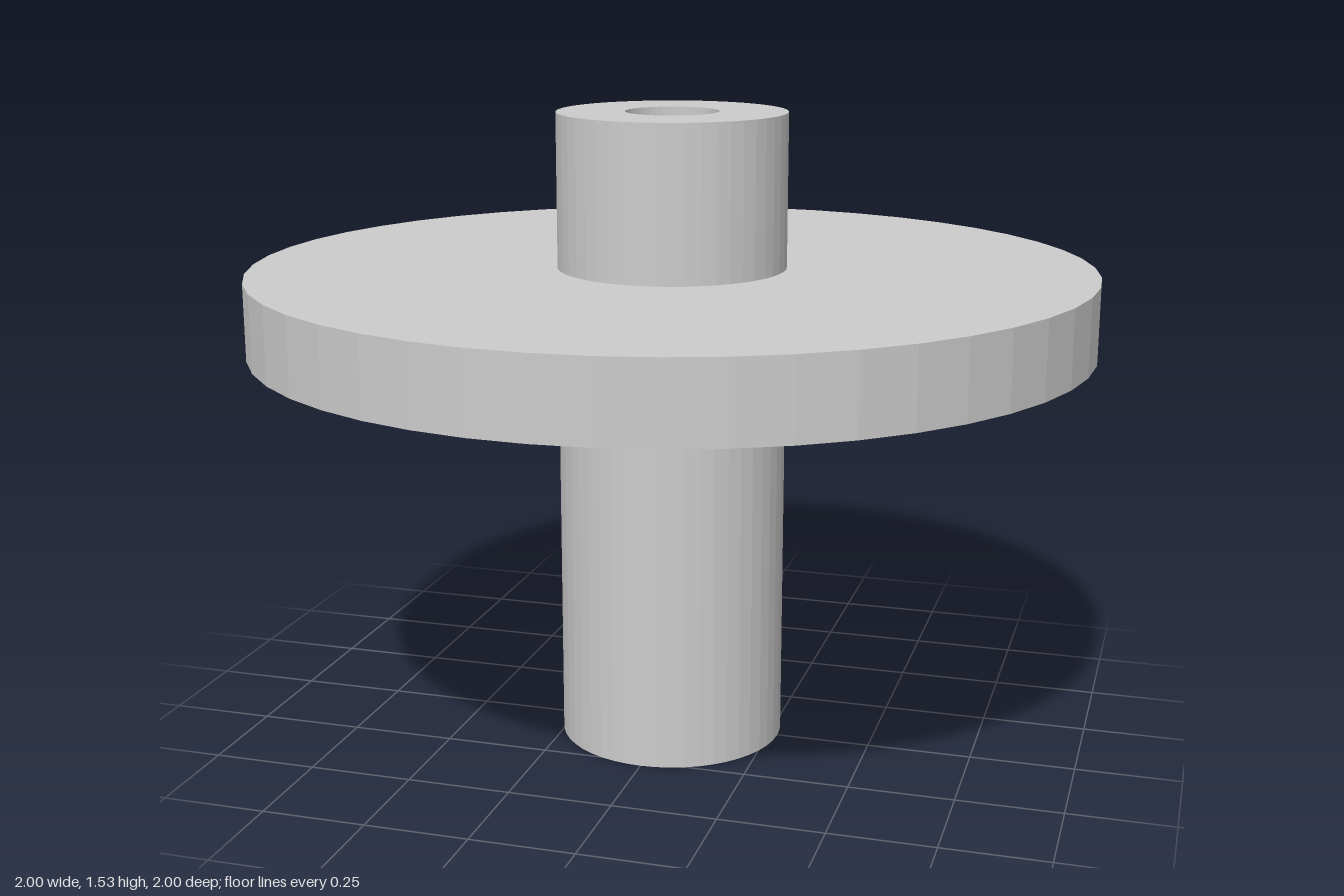
import * as THREE from 'three';

const SEGMENTS = 48;
const DISC_R = 1, SHAFT_R = 0.272, BORE_R = 0.11;
const DISC_BOTTOM = 0.985, DISC_TOP = 1.165, HEIGHT = 1.53;

export function createModel() {
  const group = new THREE.Group();
  group.name = 'flangedShaft';
  const material = new THREE.MeshStandardMaterial({ color: 0xcccccc, flatShading: true });

  // Revolves an [radius, height] profile around the y axis
  const addTurned = (name, profile) => {
    const points = profile.map(([r, y]) => new THREE.Vector2(r, y));
    const mesh = new THREE.Mesh(new THREE.LatheGeometry(points, SEGMENTS), material);
    mesh.name = name;
    group.add(mesh);
  };

  // Long shaft below the disc, with its annular end face
  addTurned('lowerShaft', [[BORE_R, 0], [SHAFT_R, 0], [SHAFT_R, DISC_BOTTOM]]);

  // Wide flat disc around the shaft
  addTurned('disc', [
    [SHAFT_R, DISC_BOTTOM], [DISC_R, DISC_BOTTOM],
    [DISC_R, DISC_TOP], [SHAFT_R, DISC_TOP],
  ]);

  // Short hub above the disc, with its annular end face
  addTurned('upperHub', [[SHAFT_R, DISC_TOP], [SHAFT_R, HEIGHT], [BORE_R, HEIGHT]]);

  // Through hole, facing the axis
  addTurned('bore', [[BORE_R, HEIGHT], [BORE_R, 0]]);

  return group;
}
